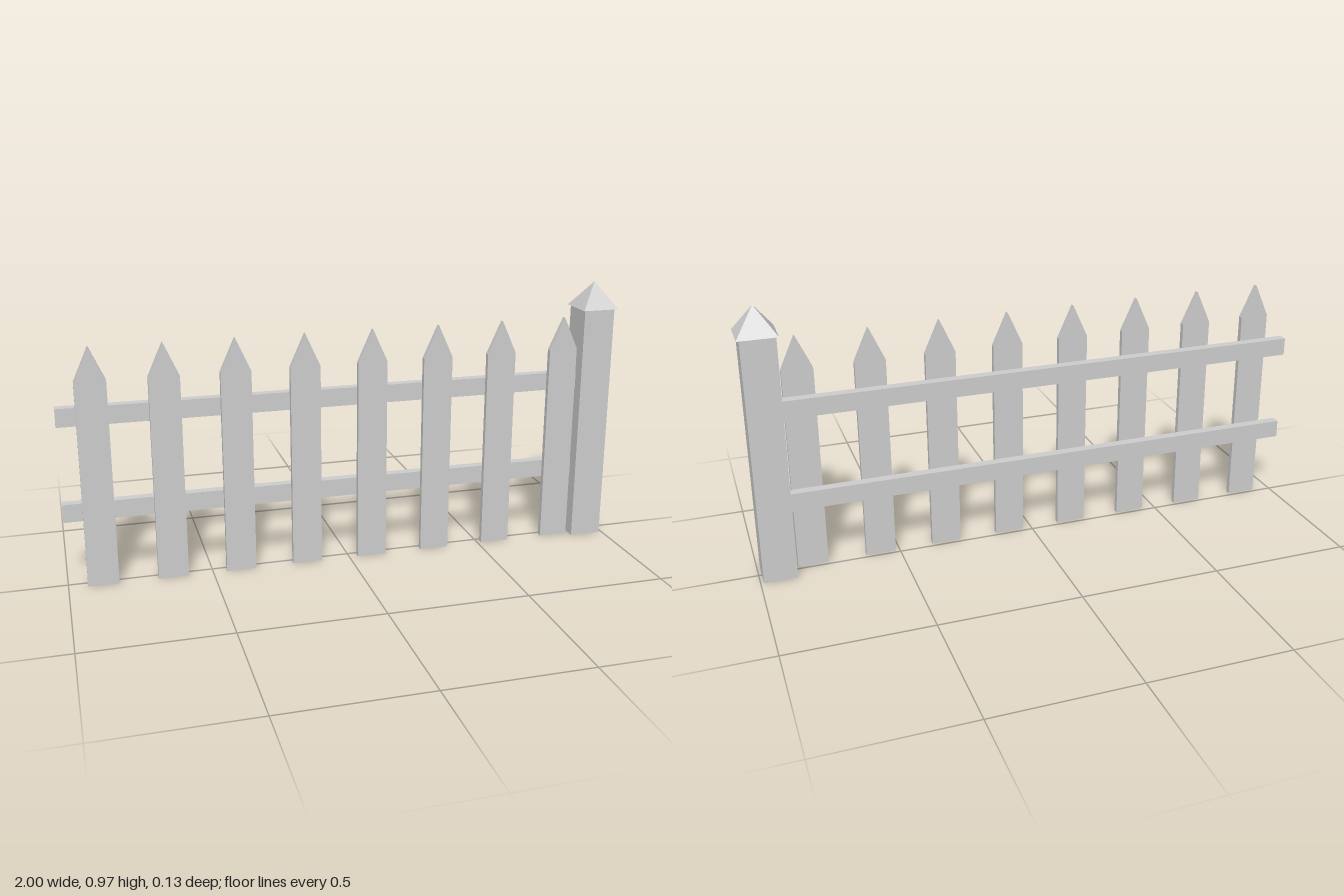
import * as THREE from 'three';

export function createModel() {
  const group = new THREE.Group();
  group.name = 'picketFence';
  const paint = new THREE.MeshStandardMaterial({ color: 0xcccccc });
  paint.name = 'pale grey';

  const add = (name, geometry, x, y, z) => {
    const mesh = new THREE.Mesh(geometry, paint);
    mesh.name = name;
    mesh.position.set(x, y, z);
    group.add(mesh);
  };

  // Pointed pickets, fixed to the front of the rails
  const half = 0.053;
  const outline = new THREE.Shape([
    [-half, 0], [half, 0], [half, 0.727], [0, 0.844], [-half, 0.727],
  ].map(([x, y]) => new THREE.Vector2(x, y)));
  const picket = new THREE.ExtrudeGeometry(outline, { depth: 0.019, bevelEnabled: false });
  for (let i = 0; i < 8; i++) add(`picket${i + 1}`, picket, -0.881 + i * 0.2414, 0, 0.013);

  // Two horizontal rails running into the post
  const rail = new THREE.BoxGeometry(1.875, 0.064, 0.034);
  add('lowerRail', rail, -0.0625, 0.268, -0.004);
  add('upperRail', rail, -0.0625, 0.605, -0.004);

  // Square end post with a pyramid cap
  const postX = 0.931;
  add('post', new THREE.BoxGeometry(0.116, 0.872, 0.116), postX, 0.436, 0);
  const cap = new THREE.ConeGeometry(0.067 * Math.SQRT2, 0.094, 4, 1).toNonIndexed();
  cap.rotateY(Math.PI / 4);
  cap.computeVertexNormals();
  add('postCap', cap, postX + 0.001, 0.919, 0);

  return group;
}
